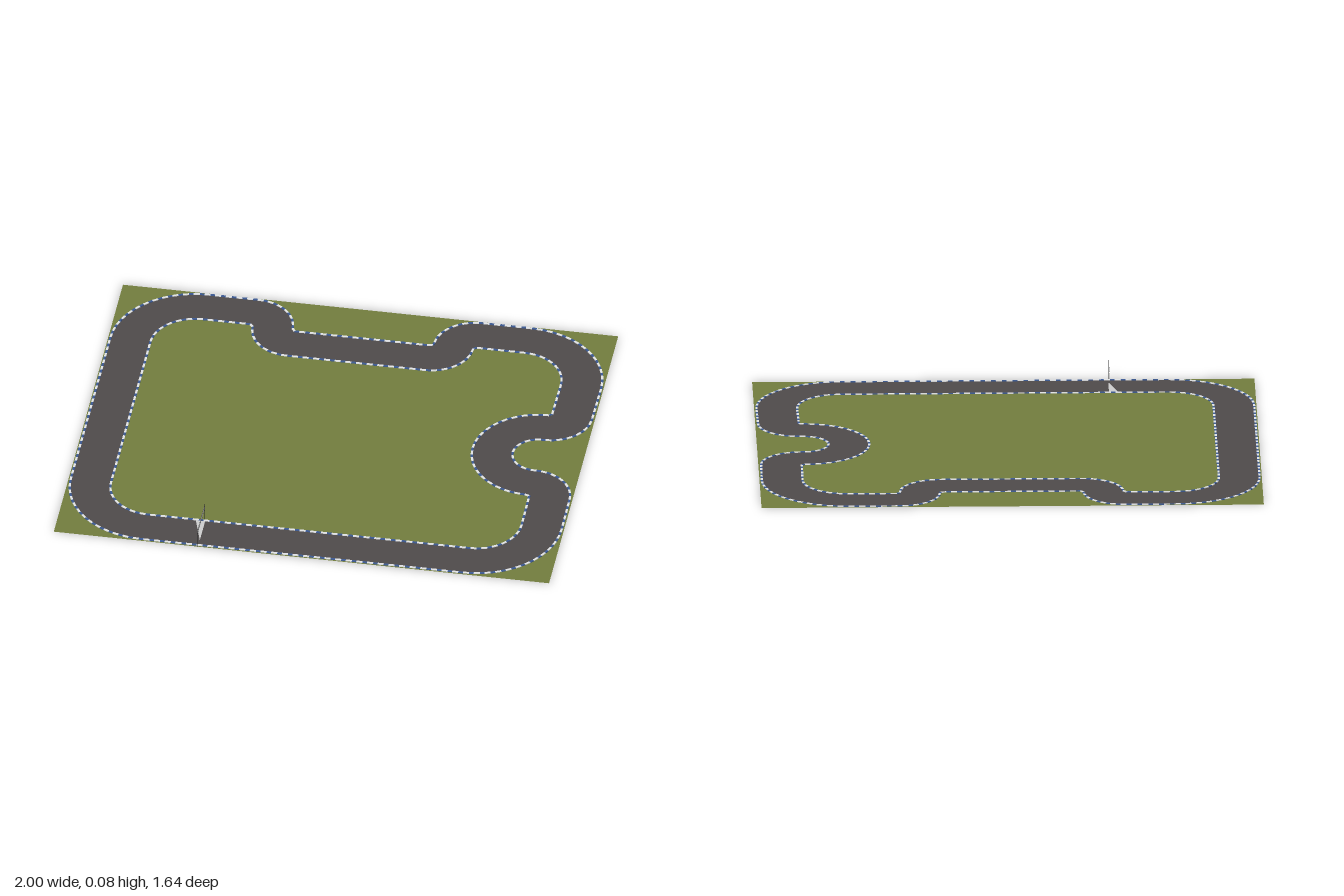
import * as THREE from 'three';
import { mergeGeometries } from 'three/addons/utils/BufferGeometryUtils.js';

const flat = (name, color) => {
  const m = new THREE.MeshStandardMaterial({ color, side: THREE.DoubleSide });
  m.name = name;
  return m;
};

// Bends in driving order: centre x, centre z, radius, start and end angle.
// Straights join one bend to the next.
const HALF = 0.081;
const BENDS = [
  [-0.65, -0.47, 0.26, 180, 270],
  [-0.45, -0.647, 0.083, 270, 360],
  [-0.28, -0.635, 0.083, 180, 90],
  [0.28, -0.635, 0.083, 90, 0],
  [0.45, -0.647, 0.083, 180, 270],
  [0.65, -0.47, 0.26, 270, 360],
  [0.825, -0.265, 0.083, 0, 90],
  [0.815, 0, 0.182, 270, 90],
  [0.825, 0.265, 0.083, 270, 360],
  [0.65, 0.465, 0.26, 0, 90],
  [-0.65, 0.465, 0.26, 90, 180],
];

// One border of the road; side is 1 for the outer edge, -1 for the inner.
function roadEdge(side) {
  const points = [];
  for (const [cx, cz, r, a0, a1] of BENDS) {
    const radius = r + side * Math.sign(a1 - a0) * HALF;
    const steps = Math.abs(a1 - a0) / 7.5;
    for (let i = 0; i <= steps; i++) {
      const a = THREE.MathUtils.degToRad(a0 + ((a1 - a0) * i) / steps);
      points.push(new THREE.Vector2(cx + radius * Math.cos(a), -cz - radius * Math.sin(a)));
    }
  }
  return points;
}

// Lays a drawn shape flat on the ground.
function groundSheet(name, outline, hole, material) {
  const shape = new THREE.Shape(outline);
  if (hole) shape.holes.push(new THREE.Path(hole));
  const mesh = new THREE.Mesh(new THREE.ShapeGeometry(shape).rotateX(-Math.PI / 2), material);
  mesh.name = name;
  return mesh;
}

// Alternating kerb blocks along one border.
function kerbs(name, edge, white, blue) {
  const path = new THREE.CurvePath();
  edge.forEach((p, i) => {
    const q = edge[(i + 1) % edge.length];
    if (p.distanceTo(q) > 1e-5) path.add(new THREE.LineCurve(p, q));
  });
  const length = path.getLength();
  const pairs = Math.round(length / 0.043);
  const blocks = [[], []];
  for (let i = 0; i < pairs; i++) {
    [[0, 0.57], [0.57, 1]].forEach(([s, e], k) => {
      const a = path.getPoint((i + s) / pairs);
      const b = path.getPoint(Math.min((i + e) / pairs, 1));
      const d = b.clone().sub(a);
      const box = new THREE.BoxGeometry(d.length(), 0.003, 0.009);
      box.rotateY(Math.atan2(d.y, d.x));
      box.translate((a.x + b.x) / 2, 0.002, -(a.y + b.y) / 2);
      blocks[k].push(box);
    });
  }
  const group = new THREE.Group();
  group.name = name;
  [white, blue].forEach((material, k) => {
    const mesh = new THREE.Mesh(mergeGeometries(blocks[k]), material);
    mesh.name = k ? 'blueKerbs' : 'whiteKerbs';
    group.add(mesh);
  });
  return group;
}

// Upright sheet facing along x.
function panel(name, z0, z1, y0, y1, material) {
  const geometry = new THREE.PlaneGeometry(z1 - z0, y1 - y0).rotateY(Math.PI / 2);
  const mesh = new THREE.Mesh(geometry, material);
  mesh.position.set(-0.42, (y0 + y1) / 2, (z0 + z1) / 2);
  mesh.name = name;
  return mesh;
}

export function createModel() {
  const grass = flat('grass green', 0x737e3e);
  const asphalt = flat('asphalt grey', 0x504b4b);
  const white = flat('kerb white', 0xe4e6e8);
  const blue = flat('kerb blue', 0x3c5a94);
  const paint = flat('pale grey', 0xcfcfcf);
  const dark = flat('dark metal', 0x3a3a3a);

  const model = new THREE.Group();
  const outer = roadEdge(1);
  const inner = roadEdge(-1);

  // Grass outside and inside the circuit, with the road between
  const corners = [[-1, -0.815], [1, -0.815], [1, 0.82], [-1, 0.82]];
  const field = corners.map(([x, y]) => new THREE.Vector2(x, y));
  model.add(groundSheet('outerGrass', field, outer, grass));
  model.add(groundSheet('infieldGrass', inner, null, grass));
  model.add(groundSheet('road', outer, inner, asphalt));
  model.add(kerbs('outerKerbs', outer, white, blue));
  model.add(kerbs('innerKerbs', inner, white, blue));

  // Tapered start marking on the road
  const mark = [[-0.455, -0.648], [-0.417, -0.775], [-0.417, -0.648]];
  const line = groundSheet('startLine', mark.map(([x, y]) => new THREE.Vector2(x, y)), null, paint);
  line.position.y = 0.002;
  model.add(line);

  // Start gantry: two posts, two rails and a banner
  const gantry = new THREE.Group();
  gantry.name = 'startGantry';
  gantry.add(panel('banner', 0.643, 0.817, 0.061, 0.079, paint));
  for (const y of [0.059, 0.079]) gantry.add(panel('rail', 0.643, 0.817, y, y + 0.002, dark));
  for (const z of [0.64, 0.817]) gantry.add(panel('post', z, z + 0.003, 0, 0.081, dark));
  model.add(gantry);
  return model;
}
